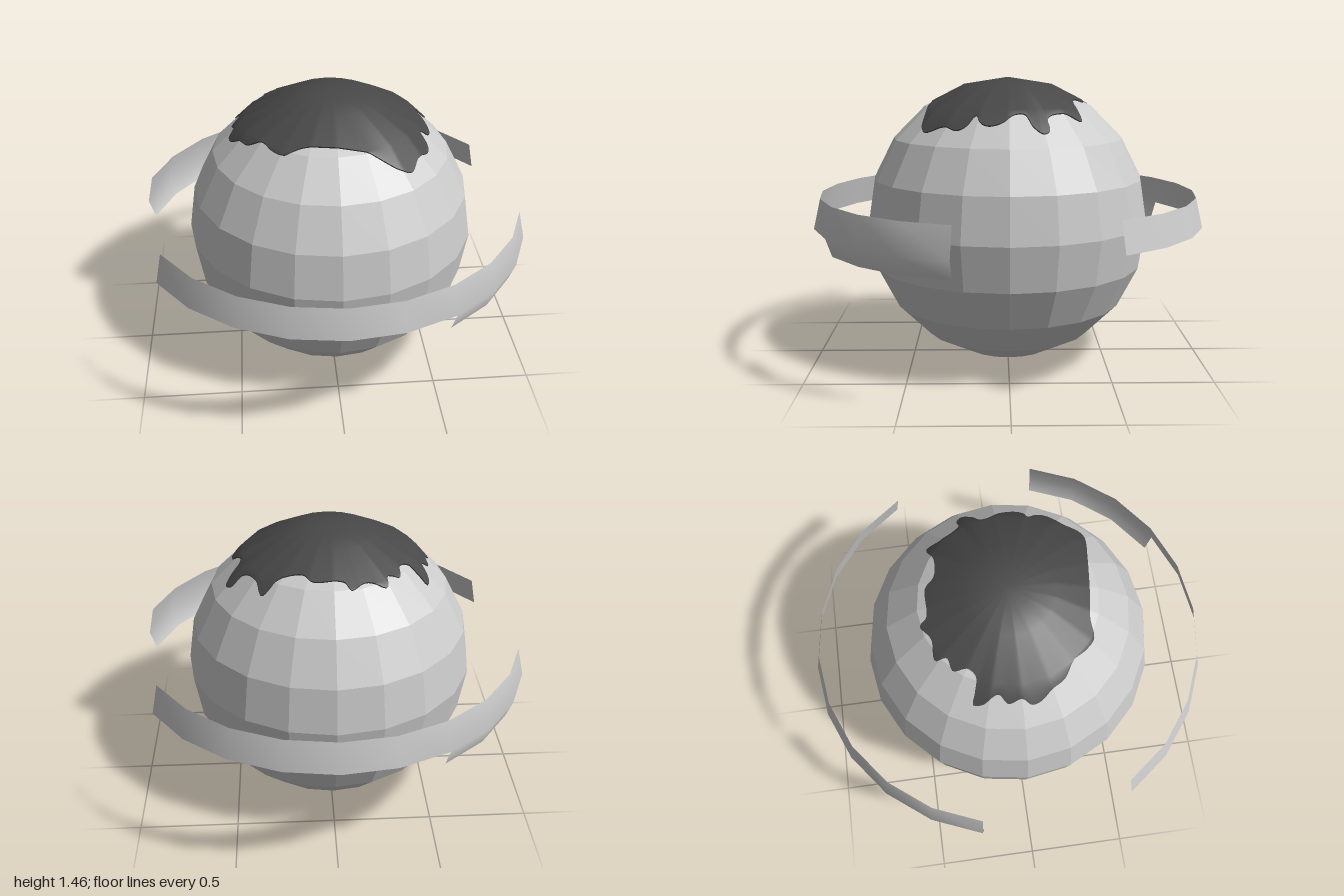
import * as THREE from 'three';

const R = 0.725, CENTER_Y = 0.735, STEP = Math.PI / 10;

const grey = (extra) => new THREE.MeshStandardMaterial({ color: 0xcccccc, ...extra });

function mesh(name, positions, index, material) {
  const g = new THREE.BufferGeometry();
  g.setAttribute('position', new THREE.Float32BufferAttribute(positions, 3));
  g.setIndex(index);
  g.computeVertexNormals();
  const m = new THREE.Mesh(g, material);
  m.name = name;
  return m;
}

// Ring radius measured to the middle of a facet
const ringRadius = (k) => R * Math.sin(k * STEP) * Math.cos(STEP / 2);

// Factor from true radius to facet distance in direction a
const facetFactor = (a) => Math.cos(a - (Math.floor(a / STEP) + 0.5) * STEP);

// Height of the faceted ball above its centre at facet distance p
function facetHeight(p) {
  let k = 0;
  while (k < 4 && ringRadius(k + 1) < p) k++;
  const t = (p - ringRadius(k)) / (ringRadius(k + 1) - ringRadius(k));
  return R * THREE.MathUtils.lerp(Math.cos(k * STEP), Math.cos((k + 1) * STEP), t);
}

// Ragged outline of the cap, as x, z pairs seen from above
const OUTLINE = [
  -0.08, -0.42, -0.05, -0.385, 0.095, -0.375, 0.14, -0.33, 0.24, -0.32, 0.33, -0.35,
  0.355, -0.275, 0.40, -0.20, 0.43, -0.18, 0.475, -0.19, 0.505, -0.16, 0.48, -0.11,
  0.435, -0.075, 0.44, -0.03, 0.475, 0.03, 0.48, 0.10, 0.455, 0.14, 0.42, 0.155,
  0.45, 0.20, 0.45, 0.245, 0.39, 0.32, 0.35, 0.40, 0.305, 0.42, 0.14, 0.40,
  -0.02, 0.38, -0.155, 0.36, -0.245, 0.365, -0.295, 0.32, -0.34, 0.255, -0.41, 0.205,
  -0.45, 0.14, -0.49, 0.085, -0.50, 0.04, -0.475, 0, -0.485, -0.065, -0.445, -0.105,
  -0.47, -0.18, -0.46, -0.225, -0.42, -0.21, -0.36, -0.195, -0.32, -0.23, -0.315, -0.295,
  -0.255, -0.315, -0.25, -0.37, -0.155, -0.375,
];

// Cap that lies just over the ball's facets, with a thin rim
function createCap() {
  const pts = [];
  for (let i = 0; i < OUTLINE.length; i += 2) pts.push(new THREE.Vector3(OUTLINE[i], 0, OUTLINE[i + 1]));
  const edge = new THREE.CatmullRomCurve3(pts, true).getSpacedPoints(240).slice(0, -1);
  const n = edge.length, lift = 0.008;
  const top = [0, R + lift, 0], topIndex = [], rim = [], rimIndex = [];

  edge.forEach((e, i) => {
    const a = Math.atan2(e.z, e.x), f = facetFactor(a);
    const pMax = Math.hypot(e.x, e.z) * f;
    const next = (i + 1) % n;
    // Each ray bends where it crosses a ring of the ball
    for (const ring of [ringRadius(1) / 2, ringRadius(1), ringRadius(2), Infinity]) {
      const p = Math.min(ring, pMax);
      top.push(Math.cos(a) * p / f, facetHeight(p) + lift, Math.sin(a) * p / f);
    }
    const b = 1 + i * 4, c = 1 + next * 4;
    topIndex.push(0, c, b);
    for (let k = 0; k < 3; k++) topIndex.push(b + k, c + k, c + k + 1, b + k, c + k + 1, b + k + 1);

    const y = facetHeight(pMax);
    rim.push(e.x, y + lift, e.z, e.x * 0.985, y - 0.01, e.z * 0.985);
    const u = i * 2, v = next * 2;
    rimIndex.push(u, v, v + 1, u, v + 1, u + 1);
  });

  const dark = new THREE.MeshStandardMaterial({ color: 0x484848, side: THREE.DoubleSide });
  const cap = new THREE.Group();
  cap.name = 'cap';
  cap.add(mesh('capTop', top, topIndex, dark), mesh('capRim', rim, rimIndex, dark));
  cap.position.y = CENTER_Y;
  return cap;
}

// Curved strip from -60 to 75 degrees with a lower lip from 30 degrees on
function createBand(name) {
  const profile = [[0.965, 0.88], [1, 0.73], [0.968, 0.64]];
  const columns = 10, lipStart = 6;
  const pos = [], index = [], first = [];
  for (let j = 0; j < columns; j++) {
    const a = THREE.MathUtils.degToRad(-60 + 15 * j);
    first.push(pos.length / 3);
    for (const [r, y] of profile.slice(0, j < lipStart ? 2 : 3)) pos.push(r * Math.sin(a), y, r * Math.cos(a));
  }
  for (let j = 0; j < columns - 1; j++) {
    for (let k = 0; k < (j < lipStart ? 1 : 2); k++) {
      const b = first[j] + k, c = first[j + 1] + k;
      index.push(b, b + 1, c + 1, b, c + 1, c);
    }
  }
  return mesh(name, pos, index, grey({ side: THREE.DoubleSide }));
}

export function createModel() {
  const model = new THREE.Group();
  model.name = 'ballWithBands';

  const ball = new THREE.Mesh(new THREE.SphereGeometry(R, 20, 10), grey({ flatShading: true }));
  ball.name = 'ball';
  ball.position.y = CENTER_Y;

  // The back band is the front one turned half way round
  const backBand = createBand('backBand');
  backBand.rotation.y = Math.PI;

  model.add(ball, createCap(), createBand('frontBand'), backBand);

  // Stand on the ground
  model.position.y = R - CENTER_Y;
  return model;
}
